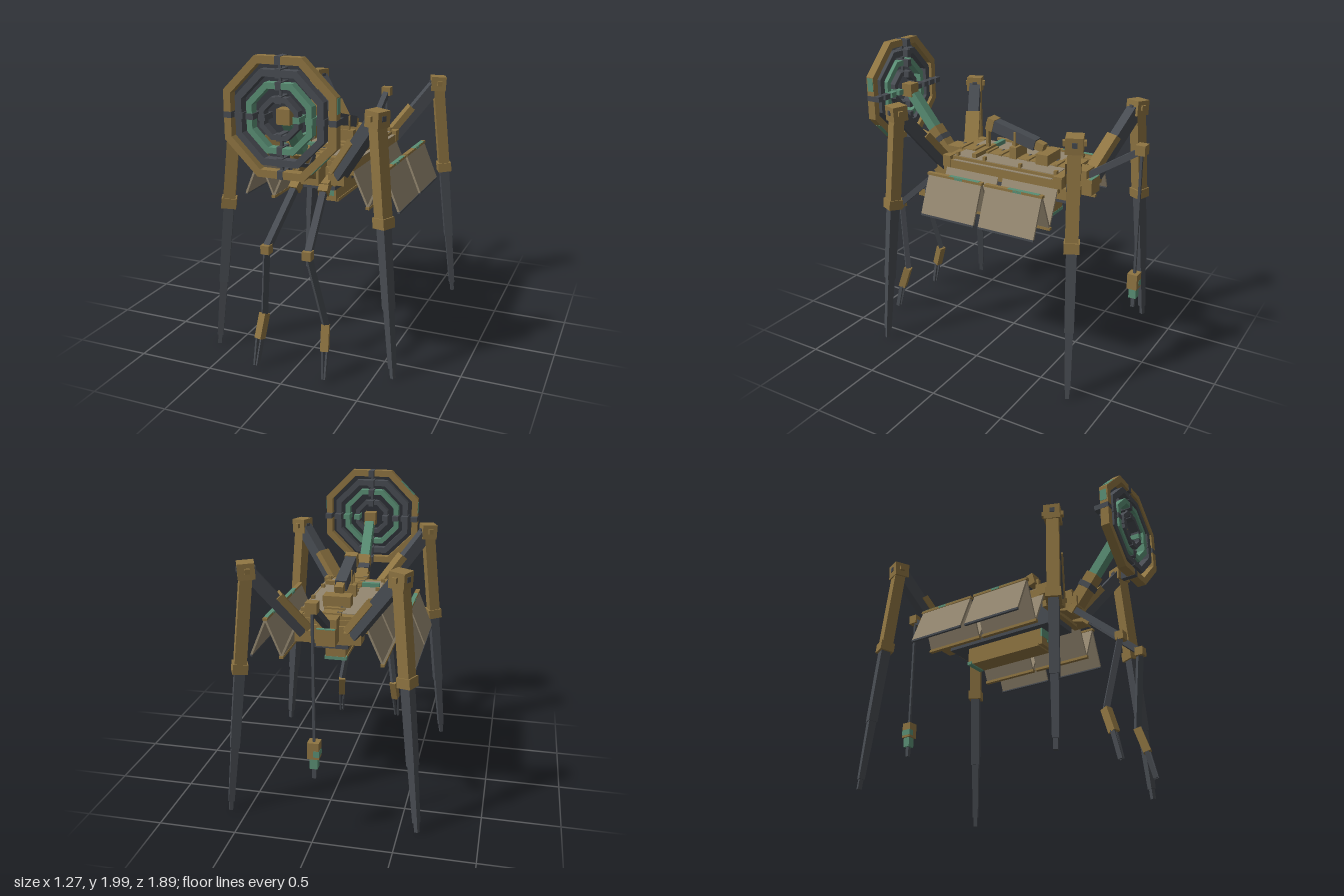
import * as THREE from 'three';

const mat = (name, color) => {
  const m = new THREE.MeshStandardMaterial({ color });
  m.name = name;
  return m;
};
const V = (x, y, z) => new THREE.Vector3(x, y, z);

export function createModel() {
  const bronze = mat('bronze', 0x8f7542);
  const iron = mat('dark iron', 0x484c52);
  const patina = mat('green patina', 0x5a8f75);
  const sheet = mat('panel sheet', 0x948770);
  const root = new THREE.Group();
  root.name = 'walkingMachine';
  const CZ = -0.037; // middle of the hull along z

  const group = (name) => {
    const g = new THREE.Group();
    g.name = name;
    root.add(g);
    return g;
  };
  const add = (g, name, geo, m) => {
    const mesh = new THREE.Mesh(geo, m);
    mesh.name = name;
    g.add(mesh);
    return mesh;
  };
  // box given by its extents
  const box = (g, name, m, x0, x1, y0, y1, z0, z1) => {
    const b = add(g, name, new THREE.BoxGeometry(x1 - x0, y1 - y0, z1 - z0), m);
    b.position.set((x0 + x1) / 2, (y0 + y1) / 2, (z0 + z1) / 2);
    return b;
  };
  // square bar between two points, optionally tapering towards the second
  const beam = (g, name, m, p, q, w, d = w, taper = 1) => {
    const dir = q.clone().sub(p), len = dir.length();
    dir.normalize();
    const geo = new THREE.BoxGeometry(w, len, d), a = geo.attributes.position;
    for (let i = 0; i < a.count; i++) {
      if (a.getY(i) > 0) a.setXYZ(i, a.getX(i) * taper, a.getY(i), a.getZ(i) * taper);
    }
    geo.computeVertexNormals();
    const side = V(0, 1, 0).cross(dir);
    if (side.lengthSq() < 1e-6) side.set(1, 0, 0);
    side.normalize();
    const b = add(g, name, geo, m);
    b.quaternion.setFromRotationMatrix(
      new THREE.Matrix4().makeBasis(side, dir, side.clone().cross(dir)));
    b.position.copy(p).add(q).multiplyScalar(0.5);
    return b;
  };

  // Hull
  const hull = group('hull');
  box(hull, 'deckFrame', bronze, -0.235, 0.235, 1.235, 1.275, -0.48, 0.405);
  box(hull, 'deckUpperFrame', bronze, -0.21, 0.21, 1.275, 1.297, -0.47, 0.395);
  for (const s of [-1, 1]) {
    box(hull, 'deckSheet', sheet, s * 0.13 - 0.07, s * 0.13 + 0.07, 1.294, 1.301, -0.42, 0.345);
    box(hull, 'deckEdgeSheet', sheet, s * 0.222 - 0.012, s * 0.222 + 0.012, 1.27, 1.278, -0.41, 0.335);
    box(hull, 'sideRail', bronze, s * 0.215 - 0.02, s * 0.215 + 0.02, 1.19, 1.235, -0.46, 0.385);
    for (const z of [-0.42, -0.16, 0.11, 0.32]) {
      box(hull, 'deckPeg', bronze, s * 0.19 - 0.012, s * 0.19 + 0.012, 1.29, 1.325, z - 0.01, z + 0.01);
    }
    for (const e of [-1, 1]) {
      box(hull, 'cornerBlock', bronze, s * 0.21 - 0.03, s * 0.21 + 0.03, 1.225, 1.302,
        CZ + e * 0.42 - 0.03, CZ + e * 0.42 + 0.03);
      box(hull, 'hipBlock', bronze, s * 0.155 - 0.055, s * 0.155 + 0.055, 1.145, 1.22,
        CZ + e * 0.46 - 0.06, CZ + e * 0.46 + 0.06);
    }
  }
  box(hull, 'hullCore', iron, -0.11, 0.11, 1.08, 1.24, CZ - 0.43, CZ + 0.43);
  box(hull, 'keelBox', bronze, -0.065, 0.065, 0.965, 1.08, -0.34, 0.265);
  box(hull, 'keelPlate', bronze, -0.07, 0.07, 0.955, 0.975, -0.3, 0.24);
  box(hull, 'keelPatch', patina, -0.066, 0.015, 1.02, 1.081, 0.255, 0.268);
  box(hull, 'keelLowPatch', patina, 0.0, 0.05, 1.0, 1.045, 0.262, 0.267);
  box(hull, 'keelSidePatch', patina, -0.073, 0.073, 0.954, 0.976, -0.342, -0.31);
  box(hull, 'spine', bronze, -0.06, 0.06, 1.24, 1.305, -0.57, 0.5);
  for (let i = 0; i < 9; i++) {
    const z = -0.46 + i * 0.105;
    box(hull, 'spineRib', bronze, -0.068, 0.068, 1.25, 1.315, z - 0.01, z + 0.01);
    box(hull, 'spineSlot', iron, -0.06, -0.03, 1.3, 1.307, z + 0.04, z + 0.05);
  }
  for (const e of [-1, 1]) {
    const at = (name, m, w, y0, y1, a, b) => box(hull, name, m, -w, w, y0, y1,
      CZ + Math.min(e * a, e * b), CZ + Math.max(e * a, e * b));
    at('endBlock', bronze, 0.13, 1.12, 1.24, 0.4, 0.465);
    at('endCap', bronze, 0.06, 1.145, 1.25, 0.46, 0.572);
  }
  box(hull, 'tailPatch', patina, -0.058, 0.058, 1.249, 1.254, -0.608, -0.585);

  // Four walking legs
  for (const s of [-1, 1]) for (const e of [-1, 1]) {
    const leg = group((e > 0 ? 'front' : 'back') + (s > 0 ? 'Left' : 'Right') + 'Leg');
    const P = (x, y, z) => V(s * x, y, CZ + e * z);
    const hip = P(0.14, 1.18, 0.475), knee = P(0.465, 1.625, 0.642);
    const foot = P(0.615, 0.005, 0.714);
    const up = (t) => hip.clone().lerp(knee, t), down = (t) => knee.clone().lerp(foot, t);
    beam(leg, 'thigh', iron, up(0.06), up(1), 0.078, 0.085);
    beam(leg, 'thighGuard', bronze, up(0.06), up(0.56), 0.1, 0.045).translateZ(-0.036);
    beam(leg, 'kneeBlock', bronze, P(0.463, 1.57, 0.642), P(0.468, 1.67, 0.644), 0.105);
    const out = P(0.325, 0, 0.167).sub(P(0, 0, 0)).normalize();
    const cross = V(-out.z, 0, out.x);
    beam(leg, 'kneeBolt', iron, knee.clone().addScaledVector(out, -0.058),
      knee.clone().addScaledVector(out, 0.058), 0.032);
    beam(leg, 'kneePin', bronze, knee.clone().addScaledVector(cross, -0.07),
      knee.clone().addScaledVector(cross, 0.07), 0.032);
    beam(leg, 'shinSleeve', bronze, down(0.02), down(0.4), 0.08, 0.075);
    beam(leg, 'shinCollar', bronze, down(0.365), down(0.405), 0.095);
    beam(leg, 'shin', iron, down(0.4), down(0.72), 0.065, 0.065, 0.9);
    beam(leg, 'lowerShin', iron, down(0.7), down(0.96), 0.05, 0.05, 0.75);
    beam(leg, 'footTip', iron, down(0.95), foot, 0.026);
  }

  // Folding side panels, two rows on each side in a zigzag
  const fold = [[0.225, 1.225], [0.33, 0.99], [0.432, 1.235], [0.535, 0.985]];
  for (const s of [-1, 1]) for (const [z0, z1] of [[-0.455, -0.055], [-0.02, 0.385]]) {
    const g = group('foldingPanels');
    const zm = (z0 + z1) / 2, len = z1 - z0;
    for (let i = 0; i < 3; i++) {
      const a = fold[i], b = fold[i + 1];
      beam(g, 'panel', sheet, V(s * a[0], a[1], zm), V(s * b[0], b[1], zm), 0.014, 0.014).scale.x = len / 0.014;
    }
    box(g, 'lowerHinge', bronze, s * 0.33 - 0.013, s * 0.33 + 0.013, 0.978, 0.996, z0 - 0.008, z1 + 0.008);
    const h = s * 0.432;
    box(g, 'upperHinge', bronze, h - 0.015, h + 0.015, 1.229, 1.245, z0 - 0.008, z1 + 0.008);
    const p0 = s < 0 ? z0 : z0 + 0.02, p1 = s < 0 ? z1 - 0.1 : z1 - 0.16;
    box(g, 'hingePatina', patina, h - 0.014, h + 0.014, 1.243, 1.247, p0, p1);
    box(g, 'hingeSidePatina', patina, h - 0.017, h + 0.017, 1.23, 1.244, z0 + 0.14, z0 + 0.2);
    box(g, 'edgeTrim', iron, s * 0.535 - 0.008, s * 0.535 + 0.008, 0.977, 0.99, z0, z1);
  }

  // Octagonal ring dish
  const dish = group('dish');
  dish.position.set(0, 1.645, 0);
  const octagon = (Type, r) => {
    const s = new Type(), R = r / Math.cos(Math.PI / 8);
    for (let i = 0; i < 8; i++) {
      const a = (i + 0.5) * Math.PI / 4;
      s[i ? 'lineTo' : 'moveTo'](R * Math.cos(a), R * Math.sin(a));
    }
    s.closePath();
    return s;
  };
  const rings = [[0.35, 0.305, bronze], [0.275, 0.235, iron], [0.203, 0.168, patina], [0.122, 0.092, iron]];
  rings.forEach(([outer, inner, m], n) => {
    const shape = octagon(THREE.Shape, outer);
    shape.holes.push(octagon(THREE.Path, inner));
    const ring = add(dish, 'dishRing', new THREE.ExtrudeGeometry(shape, { depth: 0.057, bevelEnabled: false }), m);
    ring.position.z = 0.886;
    for (let i = 0; i < 4; i++) { // clamps at the quarter points
      const a = i * Math.PI / 2, r = (outer + inner) / 2, w = outer - inner + (n ? 0.012 : 0.004);
      const green = i === 0 && n > 1;
      const c = add(dish, 'ringClamp', new THREE.BoxGeometry(w, 0.036, 0.099), green ? patina : iron);
      c.position.set(r * Math.cos(a), r * Math.sin(a), 0.8945);
      c.rotation.z = a;
    }
  });
  for (const s of [-1, 1]) {
    box(dish, 'uprightSpoke', iron, -0.008, 0.008, s * 0.2 - 0.11, s * 0.2 + 0.11, 0.9, 0.916);
  }
  // weathered stretches of the rim: angle, offset along the facet, length
  for (const [deg, shift, len] of [[0, 0.095, 0.09], [-45, -0.01, 0.15], [135, 0.03, 0.14], [180, -0.08, 0.08]]) {
    const a = deg * Math.PI / 180;
    const p = add(dish, 'rimPatina', new THREE.BoxGeometry(0.006, len, 0.045), patina);
    p.position.set(0.349 * Math.cos(a) - shift * Math.sin(a), 0.349 * Math.sin(a) + shift * Math.cos(a), 0.912);
    p.rotation.z = a;
  }

  // Boom carrying the dish
  const boom = group('dishBoom');
  const b0 = V(0, 1.2, 0.49), b1 = V(0, 1.625, 0.83);
  const onBoom = (t) => b0.clone().lerp(b1, t);
  beam(boom, 'boomBase', bronze, onBoom(0), onBoom(0.46), 0.085);
  beam(boom, 'boomCollar', iron, onBoom(0.26), onBoom(0.33), 0.095);
  beam(boom, 'boomArm', patina, onBoom(0.44), onBoom(0.97), 0.066);
  box(boom, 'boomHead', bronze, -0.042, 0.042, 1.6, 1.69, 0.81, 0.89);

  // Two front manipulator arms
  for (const s of [-1, 1]) {
    const arm = group(s > 0 ? 'leftArm' : 'rightArm');
    const P = (x, y, z) => V(s * x, y, z);
    const shoulder = P(0.095, 1.14, 0.52), elbow = P(0.137, 0.825, 0.87);
    const wrist = P(0.21, 0.345, 0.785), palm = P(0.223, 0.19, 0.835);
    beam(arm, 'shoulderLink', bronze, P(0.095, 1.17, 0.41), shoulder, 0.05);
    beam(arm, 'shoulder', bronze, shoulder, shoulder.clone().lerp(elbow, 0.1), 0.062);
    beam(arm, 'upperArm', iron, shoulder, elbow, 0.042);
    box(arm, 'elbow', bronze, s * 0.137 - 0.028, s * 0.137 + 0.028, 0.795, 0.85, 0.845, 0.9);
    beam(arm, 'forearm', iron, elbow, wrist, 0.036);
    beam(arm, 'wrist', bronze, wrist, palm, 0.05);
    for (const d of [-1, 1]) {
      beam(arm, 'finger', iron, P(0.223 + d * 0.018, 0.2, 0.833), P(0.232 + d * 0.01, 0.02, 0.875), 0.012, 0.028);
    }
  }

  // Tail with hanging weight
  const tail = group('tail');
  beam(tail, 'tailArm', iron, V(0, 1.25, -0.54), V(0, 1.48, -0.9), 0.042);
  box(tail, 'tailHead', bronze, -0.035, 0.035, 1.46, 1.525, -0.942, -0.878);
  box(tail, 'cable', iron, -0.008, 0.008, 0.64, 1.47, -0.918, -0.902);
  box(tail, 'weight', bronze, -0.036, 0.036, 0.545, 0.652, -0.942, -0.874);
  box(tail, 'weightPatch', patina, -0.037, 0.0, 0.56, 0.6, -0.943, -0.873);
  box(tail, 'weightCollar', patina, -0.025, 0.025, 0.477, 0.545, -0.935, -0.885);
  box(tail, 'weightTip', iron, -0.012, 0.012, 0.407, 0.477, -0.922, -0.898);

  // Sighting tube on the deck
  const scope = group('deckTube');
  box(scope, 'frontPost', bronze, -0.014, 0.014, 1.295, 1.5, 0.19, 0.212);
  box(scope, 'crossBar', patina, -0.19, -0.07, 1.3, 1.33, 0.18, 0.21);
  box(scope, 'crossBarCentre', bronze, -0.07, 0.19, 1.3, 1.33, 0.18, 0.21);
  box(scope, 'middleBlock', bronze, -0.075, 0.075, 1.295, 1.38, -0.06, -0.01);
  box(scope, 'middlePost', bronze, -0.045, 0.045, 1.38, 1.475, -0.04, -0.022);
  box(scope, 'rearBlock', bronze, -0.09, 0.09, 1.295, 1.372, -0.305, -0.215);
  const t0 = V(0, 1.503, 0.19), t1 = V(0, 1.39, -0.235);
  const onTube = (t) => t0.clone().lerp(t1, t);
  beam(scope, 'tubeFront', bronze, onTube(0), onTube(0.12), 0.085);
  beam(scope, 'tube', iron, onTube(0.1), onTube(0.86), 0.075);
  beam(scope, 'tubeRear', bronze, onTube(0.83), onTube(1), 0.055);
  return root;
}
